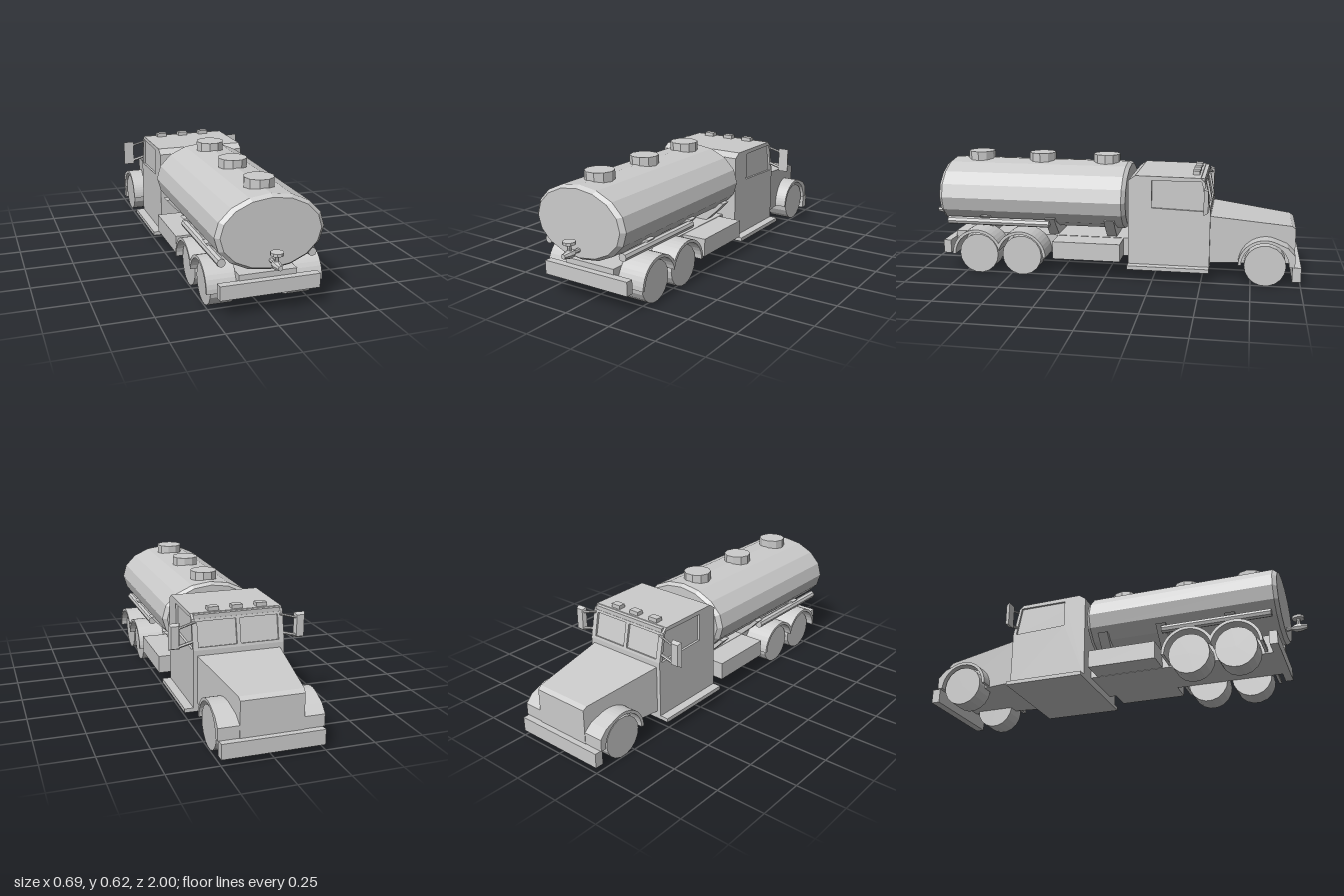
import * as THREE from 'three';

const material = new THREE.MeshStandardMaterial({ color: 0xcccccc, flatShading: true });

export function createModel() {
  const truck = new THREE.Group();
  truck.name = 'tankTruck';

  const add = (name, geometry, x = 0, y = 0, z = 0, parent = truck) => {
    const mesh = new THREE.Mesh(geometry, material);
    mesh.name = name;
    mesh.position.set(x, y, z);
    parent.add(mesh);
    return mesh;
  };
  // Box given by its limits on each axis
  const box = (name, [x0, x1], [y0, y1], [z0, z1], parent) =>
    add(name, new THREE.BoxGeometry(x1 - x0, y1 - y0, z1 - z0),
      (x0 + x1) / 2, (y0 + y1) / 2, (z0 + z1) / 2, parent);
  const polygon = (points) => new THREE.Shape(points.map(([a, b]) => new THREE.Vector2(a, b)));
  // Side profile in (z, y), extruded from x0 to x1
  const sideExtrude = (shape, x0, x1) =>
    new THREE.ExtrudeGeometry(shape, { depth: x1 - x0, bevelEnabled: false, curveSegments: 8 })
      .rotateY(-Math.PI / 2).translate(x1, 0, 0);
  const bothSides = (fn) => [['left', 1], ['right', -1]].forEach(([n, s]) => fn(n, s));
  // The same x range on either side
  const span = (s, a, b) => (s > 0 ? [a, b] : [-b, -a]);
  const rod = (name, from, to, radius, sides = 8, parent = truck) => {
    const a = new THREE.Vector3(...from), b = new THREE.Vector3(...to);
    const mesh = add(name, new THREE.CylinderGeometry(radius, radius, a.distanceTo(b), sides), 0, 0, 0, parent);
    mesh.position.copy(a).add(b).multiplyScalar(0.5);
    mesh.quaternion.setFromUnitVectors(new THREE.Vector3(0, 1, 0), b.sub(a).normalize());
  };

  // Elliptical tank with bevelled ends
  const tankProfile = [[0, -0.105], [0.92, -0.105], [1, -0.085], [1, 0.875], [0.92, 0.895], [0, 0.895]]
    .map(([r, h]) => new THREE.Vector2(r, h));
  add('tank', new THREE.LatheGeometry(tankProfile, 16).rotateX(Math.PI / 2).scale(0.262, 0.179, 1), 0, 0.4, 0);
  for (const z of [0.03, 0.385, 0.73])
    add('tankHatch', new THREE.CylinderGeometry(0.072, 0.072, 0.07, 10).rotateY(Math.PI / 2), 0, 0.582, z);

  // Cradles under the tank
  const cradle = polygon([[-0.12, 0.185], [0.12, 0.185], [0.19, 0.25], [0.236, 0.3], [-0.236, 0.3], [-0.19, 0.25]]);
  for (const z of [-0.045, 0.27, 0.625])
    add('tankCradle', new THREE.ExtrudeGeometry(cradle, { depth: 0.052, bevelEnabled: false }), 0, 0, z);

  // Hose tubes beside the tank
  bothSides((n, s) => rod(n + 'HoseTube', [s * 0.22, 0.27, 0.3], [s * 0.22, 0.27, 0.855], 0.021));

  // Drain valve
  const valve = new THREE.Group();
  valve.name = 'drainValve';
  truck.add(valve);
  const spout = [[0, 0], [0.011, 0], [0.011, 0.04], [0.021, 0.055], [0.021, 0.08], [0.012, 0.115], [0, 0.115]]
    .map(([r, h]) => new THREE.Vector2(r, h));
  add('valveSpout', new THREE.LatheGeometry(spout, 8).rotateX(Math.PI / 2), 0, 0.273, 0.885, valve);
  rod('valveStem', [0, 0.275, 0.957], [0, 0.325, 0.957], 0.01, 8, valve);
  add('valveHandle', new THREE.CylinderGeometry(0.031, 0.031, 0.014, 10).rotateY(Math.PI / 2), 0, 0.328, 0.957, valve);

  // Chassis and running gear, set slightly to one side
  const base = new THREE.Group();
  base.name = 'chassis';
  base.position.x = 0.012;
  truck.add(base);
  box('frame', [-0.142, 0.142], [0.098, 0.194], [-0.13, 0.84], base);
  box('rearBumper', [-0.245, 0.245], [0.097, 0.167], [0.835, 0.875], base);

  const arch = new THREE.Shape();
  arch.absarc(0.675, 0.105, 0.135, 0, 2.627, false);
  arch.absarc(0.44, 0.105, 0.135, 0.515, Math.PI, false);
  arch.absarc(0.44, 0.105, 0.12, Math.PI, 0.205, true);
  arch.absarc(0.675, 0.105, 0.12, 2.936, 0, true);
  const wheel = new THREE.CylinderGeometry(0.105, 0.105, 0.118, 18).rotateZ(Math.PI / 2);
  bothSides((n, s) => {
    box(n + 'SideLocker', span(s, 0.13, 0.273), [0.1, 0.192], [-0.085, 0.27], base);
    add(n + 'RearFender', sideExtrude(arch, ...span(s, 0.14, 0.286)), 0, 0, 0, base);
    for (const z of [0.44, 0.675]) add(n + 'RearWheel', wheel, s * 0.198, 0.105, z, base);
    add(n + 'FrontWheel', wheel, s * 0.187, 0.105, -0.82);
  });

  // Cab: solid core with cut-out side skins and windscreen frame forming recessed windows
  const core = polygon([[-0.12, 0.07], [-0.53, 0.07], [-0.53, 0.37], [-0.498, 0.518], [-0.487, 0.541],
    [-0.155, 0.545], [-0.12, 0.52]]);
  add('cab', sideExtrude(core, -0.22, 0.22));
  const skin = polygon([[-0.12, 0.07], [-0.54, 0.07], [-0.54, 0.37], [-0.51, 0.518], [-0.487, 0.541],
    [-0.155, 0.545], [-0.12, 0.52]]);
  skin.holes.push(polygon([[-0.24, 0.38], [-0.24, 0.522], [-0.494, 0.522], [-0.522, 0.37]]));
  bothSides((n, s) => add(n + 'CabSide', sideExtrude(skin, ...span(s, 0.22, 0.232))));
  box('cabFront', [-0.22, 0.22], [0.07, 0.37], [-0.54, -0.525]);

  const frame = polygon([[-0.22, 0], [0.22, 0], [0.22, 0.151], [-0.22, 0.151]]);
  for (const [a, b] of [[-0.205, -0.01], [0.01, 0.205]])
    frame.holes.push(polygon([[a, 0.014], [a, 0.138], [b, 0.138], [b, 0.014]]));
  const screen = add('windscreenFrame',
    new THREE.ExtrudeGeometry(frame, { depth: 0.013, bevelEnabled: false }), 0, 0.37, -0.54);
  screen.rotation.x = Math.atan2(0.03, 0.148);
  box('cabRoofLip', [-0.22, 0.22], [0.512, 0.538], [-0.508, -0.485]);
  box('runningBoard', [-0.277, 0.277], [0.06, 0.08], [-0.54, -0.12]);
  for (const x of [-0.135, -0.01, 0.112])
    box('roofLight', [x - 0.027, x + 0.027], [0.535, 0.561], [-0.477, -0.44]);

  // Tapered hood
  const hood = sideExtrude(polygon([[-0.53, 0.1], [-0.97, 0.1], [-0.97, 0.28], [-0.95, 0.295], [-0.53, 0.345]]), -1, 1);
  const p = hood.attributes.position;
  for (let i = 0; i < p.count; i++)
    p.setX(i, p.getX(i) * THREE.MathUtils.mapLinear(p.getZ(i), -0.53, -0.97, 0.213, 0.153));
  hood.computeVertexNormals();
  add('hood', hood);
  box('frontBumper', [-0.248, 0.248], [0.029, 0.104], [-1, -0.956]);

  // Front fenders with an upright nose
  const fender = new THREE.Shape();
  fender.moveTo(-0.685, 0.105);
  fender.absarc(-0.82, 0.105, 0.135, 0, Math.PI * 0.6, false);
  fender.lineTo(-0.93, 0.205);
  fender.lineTo(-0.968, 0.165);
  fender.lineTo(-0.968, 0.105);
  fender.lineTo(-0.94, 0.105);
  fender.absarc(-0.82, 0.105, 0.12, Math.PI, 0, true);
  bothSides((n, s) => add(n + 'FrontFender', sideExtrude(fender, ...span(s, 0.14, 0.255))));

  // Mirrors on two arms, with a tapered back
  const shell = new THREE.BoxGeometry(0.056, 0.13, 0.022);
  const m = shell.attributes.position;
  for (let i = 0; i < m.count; i++)
    if (m.getZ(i) < 0) m.setXY(i, m.getX(i) * 0.7, m.getY(i) * 0.85);
  shell.computeVertexNormals();
  bothSides((n, s) => {
    add(n + 'Mirror', shell, s * 0.319, 0.442, -0.522);
    rod(n + 'MirrorArm', [s * 0.215, 0.506, -0.515], [s * 0.31, 0.48, -0.522], 0.006, 6);
    rod(n + 'MirrorArm', [s * 0.215, 0.415, -0.522], [s * 0.31, 0.39, -0.522], 0.008, 6);
  });

  return truck;
}
